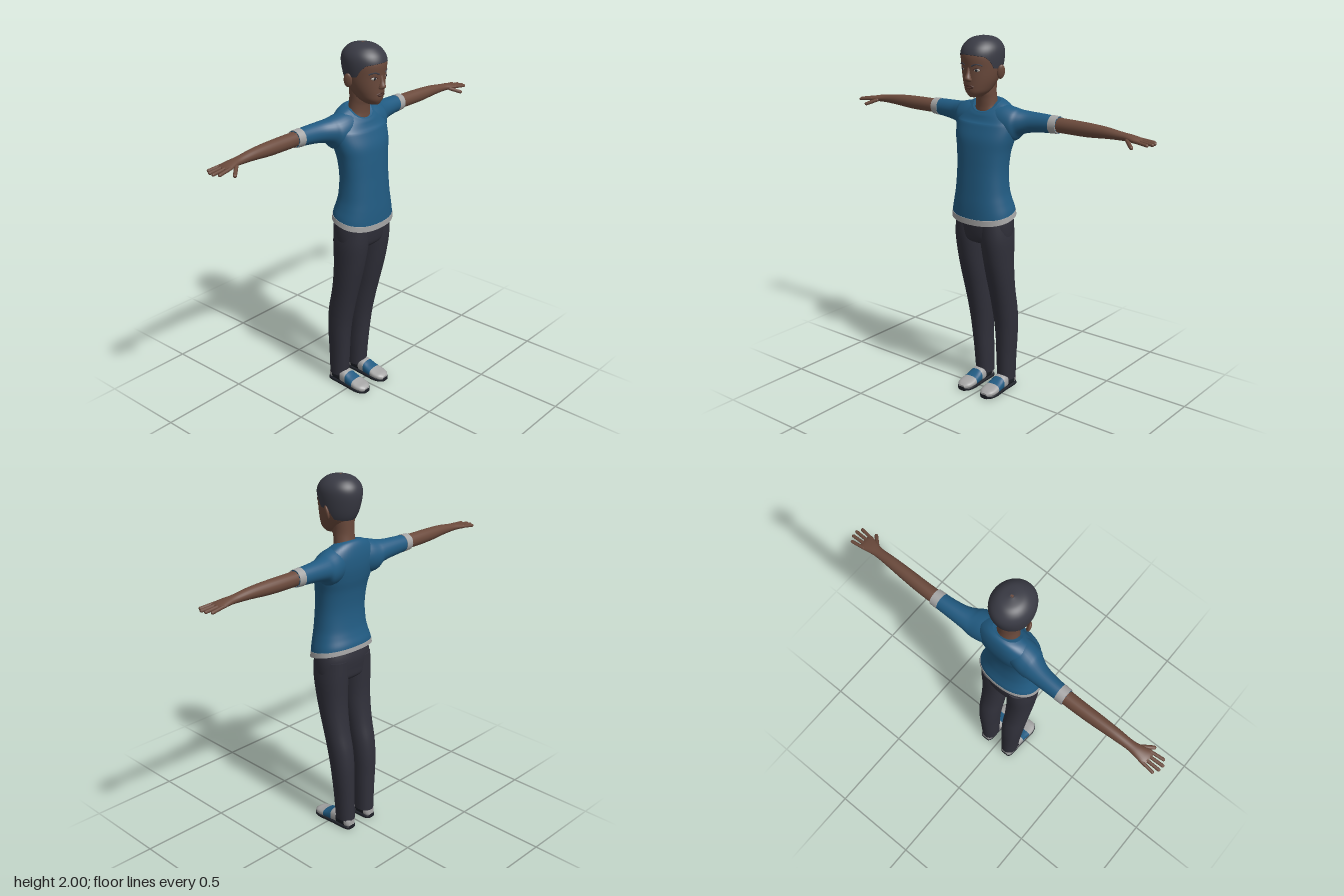
import * as THREE from 'three';

const mat = (name, color) => Object.assign(new THREE.MeshStandardMaterial({ color }), { name });
const M = {
  skin: mat('brown skin', 0x6b4a3c),
  lips: mat('dark lips', 0x50322a),
  hair: mat('charcoal hair', 0x3a3b45),
  shirt: mat('blue shirt', 0x215b82),
  trim: mat('light grey trim', 0xa6a6a6),
  pants: mat('dark trousers', 0x30303a),
  sole: mat('black sole', 0x1d2027),
  eye: mat('eye white', 0xb5aca4),
};

// Ring: [t along axis, centre u, radius u, low v, high v]
function ringAt(rings, s) {
  const i = Math.min(Math.floor(s), rings.length - 2), f = s - i;
  const p = k => rings[Math.max(0, Math.min(rings.length - 1, k))];
  return rings[0].map((_, c) => {
    const a = p(i - 1)[c], b = p(i)[c], d = p(i + 1)[c], e = p(i + 2)[c];
    const m0 = (d - a) / 2, m1 = (e - b) / 2;
    return b + f * (m0 + f * (3 * (d - b) - 2 * m0 - m1 + f * (2 * (b - d) + m0 + m1)));
  });
}
// Position along the rings where the axis value is t
function find(rings, t) {
  let lo = 0, hi = rings.length - 1;
  for (let k = 0; k < 30; k++) {
    const m = (lo + hi) / 2;
    if (ringAt(rings, m)[0] < t) lo = m; else hi = m;
  }
  return (lo + hi) / 2;
}
const place = {
  x: (t, u, v) => [t, u, v],
  y: (t, u, v) => [u, t, v],
  z: (t, u, v) => [u, v, t],
};
const pow = (c, p) => Math.sign(c) * Math.abs(c) ** p;

// Smooth skin through rings; from/to limit it, from may vary with the angle
function loft(name, material, axis, rings, o = {}) {
  const { n = 32, steps = 5, p = 1, grow = 0, warp = q => q, caps = true } = o;
  const from = typeof o.from === 'function' ? o.from : () => o.from ?? rings[0][0];
  const end = o.to === undefined ? rings.length - 1 : find(rings, o.to);
  const rows = (rings.length - 1) * steps, pos = [], idx = [];
  const tri = (a, b, c) => axis === 'y' ? idx.push(a, c, b) : idx.push(a, b, c);
  for (let i = 0; i <= rows; i++) for (let j = 0; j < n; j++) {
    const a = j / n * Math.PI * 2, s0 = find(rings, from(a));
    const [t, u, r, v0, v1] = ringAt(rings, s0 + (end - s0) * i / rows);
    pos.push(...warp(place[axis](t, u + (r + grow) * pow(Math.cos(a), p),
      (v0 + v1) / 2 + ((v1 - v0) / 2 + grow) * pow(Math.sin(a), p))));
  }
  for (let i = 0; i < rows; i++) for (let j = 0; j < n; j++) {
    const a = i * n + j, b = i * n + (j + 1) % n;
    tri(a, b, b + n); tri(a, b + n, a + n);
  }
  if (caps) for (const row of [0, rows]) {
    const base = pos.length / 3, mid = [0, 0, 0];
    for (let j = 0; j < n; j++) for (let k = 0; k < 3; k++) {
      const q = pos[(row * n + j) * 3 + k];
      pos.push(q); mid[k] += q / n;
    }
    pos.push(...mid);
    for (let j = 0; j < n; j++) {
      const a = base + j, b = base + (j + 1) % n;
      row ? tri(base + n, a, b) : tri(base + n, b, a);
    }
  }
  const g = new THREE.BufferGeometry();
  g.setAttribute('position', new THREE.Float32BufferAttribute(pos, 3));
  g.setIndex(idx);
  g.computeVertexNormals();
  return named(name, g, material);
}
function named(name, g, material) {
  const m = new THREE.Mesh(g, material);
  m.name = name;
  return m;
}
function blob(name, material, at, size, rotY = 0, rotZ = 0) {
  const m = named(name, new THREE.SphereGeometry(1, 20, 14), material);
  m.position.set(...at); m.scale.set(...size); m.rotation.set(0, rotY, rotZ);
  return m;
}
function capsule(name, material, a, b, r) {
  const A = new THREE.Vector3(...a), d = new THREE.Vector3(...b).sub(A);
  const m = named(name, new THREE.CapsuleGeometry(r, d.length() - r, 5, 10), material);
  m.position.copy(A).addScaledVector(d, 0.5);
  m.quaternion.setFromUnitVectors(new THREE.Vector3(0, 1, 0), d.normalize());
  return m;
}

const HEAD = [
  [1.695, 0, .03, .03, .118], [1.72, 0, .058, -.01, .132], [1.75, 0, .075, -.04, .136],
  [1.79, 0, .09, -.068, .138], [1.84, 0, .1, -.087, .14], [1.9, 0, .105, -.1, .146],
  [1.94, 0, .1, -.096, .135], [1.97, 0, .081, -.076, .11], [1.99, 0, .052, -.045, .077], [2, 0, .008, .007, .023]];
const HAIRLINE = [[-1, 1.775], [-.5, 1.785], [-.15, 1.84], [.25, 1.842], [.45, 1.88], [.65, 1.905], [1.01, 1.915]];
function hairline(a) {
  const f = Math.sin(a), k = Math.max(1, HAIRLINE.findIndex(h => h[0] > f));
  const [[x0, y0], [x1, y1]] = [HAIRLINE[k - 1], HAIRLINE[k]];
  return y0 + (y1 - y0) * (f - x0) / (x1 - x0);
}
// Point on the face surface
function onFace(x, y, out = 0) {
  const [, , r, b, f] = ringAt(HEAD, find(HEAD, y));
  return [x, y, (b + f) / 2 + (f - b) / 2 * Math.sqrt(1 - (x / r) ** 2) + out];
}
function faceLine(name, material, pts, r) {
  const c = new THREE.CatmullRomCurve3(pts.map(([x, y]) => new THREE.Vector3(...onFace(x, y))));
  return named(name, new THREE.TubeGeometry(c, 14, r, 6), material);
}

function makeHead() {
  const g = new THREE.Group();
  g.name = 'head';
  g.add(loft('face', M.skin, 'y', HEAD, { n: 48 }));
  g.add(loft('hair', M.hair, 'y', HEAD, { n: 72, from: hairline, grow: .003 }));
  g.add(loft('neck', M.skin, 'y', [[1.56, 0, .075, -.08, .04], [1.61, 0, .07, -.072, .04], [1.64, 0, .062, -.069, .04],
    [1.68, 0, .057, -.063, .045], [1.72, 0, .056, -.061, .055], [1.79, 0, .06, -.062, .05]]));
  g.add(loft('nose', M.skin, 'y', [[1.776, 0, .008, .125, .143], [1.784, 0, .02, .122, .156],
    [1.796, 0, .018, .122, .162], [1.82, 0, .011, .122, .151], [1.85, 0, .009, .122, .142]], { n: 20 }));
  g.add(faceLine('upperLip', M.lips, [[-.028, 1.749], [-.01, 1.756], [.01, 1.756], [.028, 1.749]], .0045));
  g.add(faceLine('lowerLip', M.lips, [[-.024, 1.747], [0, 1.743], [.024, 1.747]], .005));
  for (const s of [-1, 1]) {
    g.add(blob('eye', M.eye, onFace(s * .045, 1.838, -.002), [.017, .008, .005], s * .42));
    g.add(blob('iris', M.sole, onFace(s * .044, 1.838, .001), [.007, .0075, .004], s * .42));
    g.add(faceLine('eyelid', M.lips, [[s * .026, 1.838], [s * .045, 1.848], [s * .064, 1.84]], .0028));
    g.add(faceLine('eyebrow', M.hair, [[s * .02, 1.858], [s * .045, 1.868], [s * .07, 1.86]], .004));
    g.add(blob('ear', M.skin, [s * .108, 1.822, .008], [.011, .038, .022], s * -.45, s * -.18));
  }
  return g;
}

function makeShirt() {
  const g = new THREE.Group();
  g.name = 'shirt';
  // Lowers the hem and the neckline towards the front
  const warp = ([x, y, z]) => {
    const low = THREE.MathUtils.clamp((1.25 - y) / .2, 0, 1);
    const high = THREE.MathUtils.clamp((y - 1.55) / .105, 0, 1), d = z + .01;
    return [x, y - (z - .012) * .24 * low - d * (d > 0 ? .9 : .3) * high, z];
  };
  const body = [[1.045, 0, .186, -.114, .138], [1.09, 0, .18, -.11, .138], [1.14, 0, .167, -.097, .136], [1.2, 0, .155, -.086, .131],
    [1.3, 0, .149, -.08, .123], [1.4, 0, .157, -.09, .116], [1.47, 0, .173, -.106, .108], [1.53, 0, .183, -.115, .088],
    [1.58, 0, .178, -.115, .07], [1.62, 0, .148, -.106, .06], [1.645, 0, .11, -.092, .054], [1.657, 0, .078, -.074, .045]];
  g.add(loft('shirtBody', M.shirt, 'y', body, { n: 48, p: .88, warp }));
  g.add(loft('hemBand', M.trim, 'y', body, { n: 48, p: .88, warp, to: 1.073, grow: .002 }));
  return g;
}

function makeArm() {
  const g = new THREE.Group();
  const sleeve = [[.06, 1.56, .09, -.1, .045], [.12, 1.553, .093, -.115, .045], [.17, 1.55, .085, -.12, .035], [.2, 1.562, .065, -.12, .012],
    [.25, 1.567, .055, -.12, -.014], [.32, 1.57, .049, -.12, -.028], [.415, 1.572, .043, -.12, -.036]];
  g.add(loft('sleeve', M.shirt, 'x', sleeve));
  g.add(loft('sleeveCuff', M.trim, 'x', sleeve, { from: .372, grow: .002 }));
  g.add(loft('forearm', M.skin, 'x', [[.38, 1.572, .038, -.115, -.04], [.5, 1.571, .038, -.114, -.042], [.6, 1.571, .036, -.11, -.042],
    [.7, 1.572, .029, -.104, -.044], [.79, 1.568, .021, -.099, -.046], [.84, 1.565, .018, -.104, -.036],
    [.88, 1.56, .014, -.11, -.026], [.9, 1.557, .008, -.104, -.032]], { n: 24 }));
  [[-.1, .95, -.108], [-.08, .967, -.08], [-.058, .97, -.052], [-.036, .955, -.025]].forEach(([z0, x, z]) =>
    g.add(capsule('finger', M.skin, [.87, 1.562, z0], [x, 1.553, z], .0085)));
  g.add(capsule('thumb', M.skin, [.83, 1.56, -.045], [.885, 1.535, .002], .01));
  return g;
}

function makeLeg() {
  const g = new THREE.Group();
  g.add(loft('trouserLeg', M.pants, 'y', [[.06, .077, .048, -.152, -.04], [.2, .08, .052, -.152, -.03], [.3, .084, .056, -.152, -.022],
    [.4, .086, .061, -.15, -.01], [.5, .087, .065, -.138, .01], [.6, .088, .068, -.115, .034], [.7, .088, .073, -.1, .06],
    [.8, .088, .077, -.094, .084], [.92, .086, .083, -.097, .105], [1.02, .08, .08, -.1, .11]], { p: .92 }));
  const shoe = [[-.15, .08, .022, .02, .065], [-.135, .08, .034, .014, .085], [-.1, .08, .038, .014, .09], [-.04, .08, .041, .014, .094],
    [.01, .08, .045, .014, .074], [.06, .081, .048, .014, .058], [.095, .081, .04, .014, .05], [.115, .081, .02, .018, .038]];
  [['shoeHeel', M.trim, -.15, -.12], ['shoeBack', M.sole, -.12, -.06], ['shoeTongue', M.trim, -.06, -.02],
    ['shoeStrap', M.shirt, -.02, .035], ['shoeToe', M.trim, .035, .115]].forEach(([name, m, from, to]) =>
    g.add(loft(name, m, 'z', shoe, { from, to, p: .8, steps: 3 })));
  g.add(loft('sole', M.sole, 'z', shoe.map(([z, x, r]) => [z * 1.01, x, r + .003, .005, .028]), { p: .6 }));
  return g;
}

export function createModel() {
  const model = new THREE.Group();
  model.name = 'standingBoy';
  model.add(makeHead(), makeShirt());
  model.add(loft('trouserHips', M.pants, 'y', [[.9, 0, .135, -.075, .08], [.92, 0, .16, -.094, .1], [.96, 0, .169, -.1, .11],
    [1.03, 0, .169, -.105, .117], [1.1, 0, .155, -.09, .115]], { n: 40, p: .9 }));
  for (const [side, s] of [['left', 1], ['right', -1]]) {
    const arm = makeArm(), leg = makeLeg();
    arm.name = side + 'Arm'; leg.name = side + 'Leg';
    arm.scale.x = leg.scale.x = s;
    model.add(arm, leg);
  }
  return model;
}
